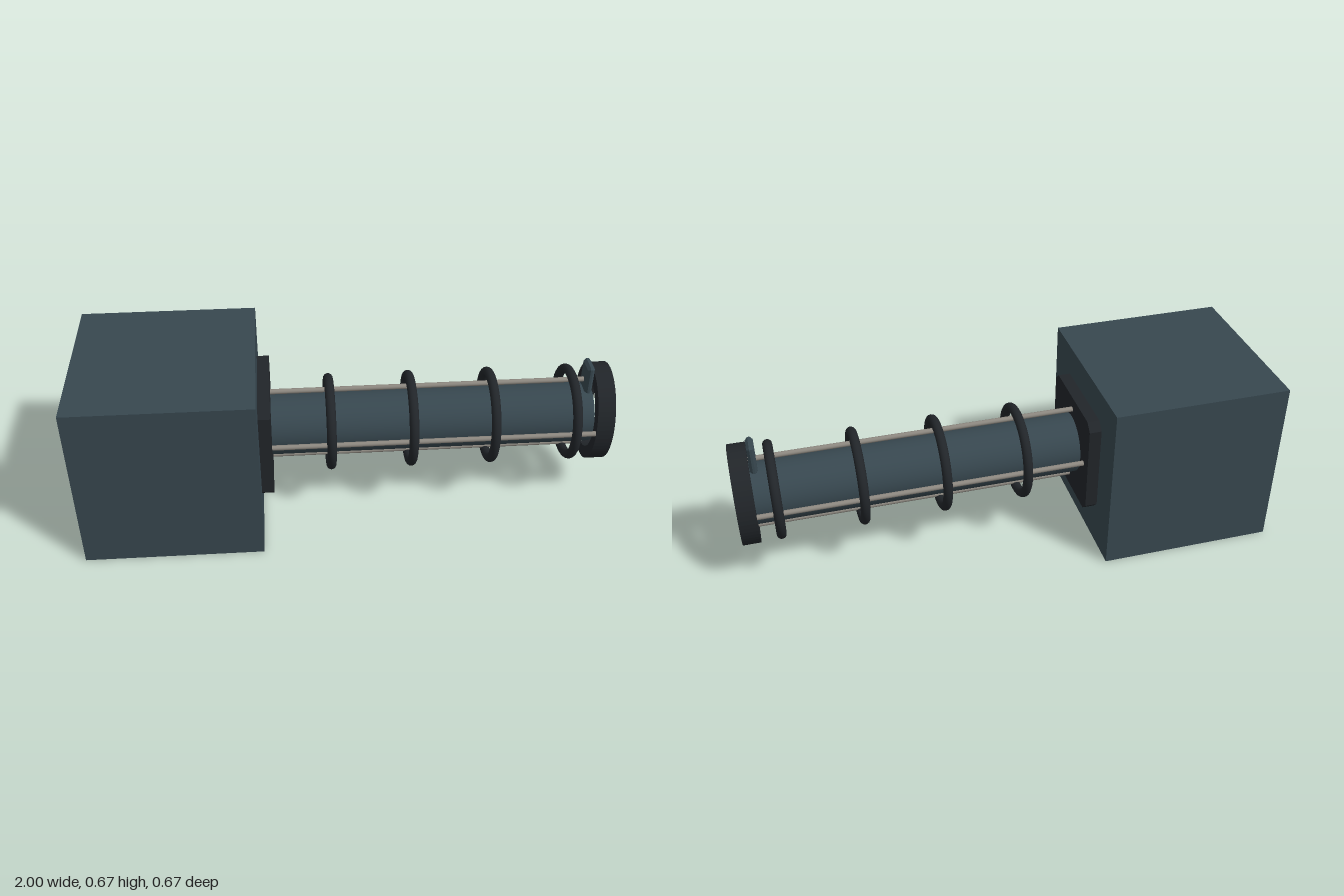
import * as THREE from 'three';

const AXIS_Y = 0.35; // height of the barrel axis
const bodyMat = new THREE.MeshStandardMaterial({ color: 0x37474f });
const darkMat = new THREE.MeshStandardMaterial({ color: 0x212529 });
const rodMat = new THREE.MeshStandardMaterial({ color: 0x8d8880 });

function addMesh(parent, name, geometry, material, x = 0, y = 0, z = 0) {
  const mesh = new THREE.Mesh(geometry, material);
  mesh.name = name;
  mesh.position.set(x, y, z);
  parent.add(mesh);
  return mesh;
}

// Cylinder lying along x from x0 to x1
function rodX(radius, x0, x1, sides) {
  return new THREE.CylinderGeometry(radius, radius, x1 - x0, sides)
    .rotateZ(-Math.PI / 2)
    .translate((x0 + x1) / 2, 0, 0);
}

// Outline in the z-y plane extruded along +x, starting at x0
function extrudeX(shape, x0, depth, options = {}) {
  return new THREE.ExtrudeGeometry(shape, { depth, bevelEnabled: false, curveSegments: 32, ...options })
    .rotateY(Math.PI / 2)
    .translate(x0, 0, 0);
}

// Rectangle with cut corners
function cutRectangle(w, h, c) {
  return new THREE.Shape([
    [-w + c, -h], [w - c, -h], [w, -h + c], [w, h - c],
    [w - c, h], [-w + c, h], [-w, h - c], [-w, -h + c],
  ].map(([x, y]) => new THREE.Vector2(x, y)));
}

export function createModel() {
  const model = new THREE.Group();
  model.name = 'model';

  // Cube at the closed end
  addMesh(model, 'cubeHead', new THREE.BoxGeometry(0.667, 0.667, 0.667), bodyMat, -0.6665, 0.3335, 0);

  const barrel = new THREE.Group();
  barrel.name = 'barrelAssembly';
  barrel.position.y = AXIS_Y;
  model.add(barrel);

  // Mounting plate with cut corners
  addMesh(barrel, 'mountingPlate', extrudeX(cutRectangle(0.2, 0.2, 0.03), -0.334, 0.047), darkMat);

  // Central tube
  addMesh(barrel, 'tube', rodX(0.117, -0.3, 0.935, 48), bodyMat);

  // Four guide rods around the tube
  for (let i = 0; i < 4; i++) {
    const a = (i * Math.PI) / 2;
    addMesh(barrel, 'guideRod', rodX(0.01, -0.29, 0.935, 12), rodMat,
      0, Math.cos(a) * 0.15, Math.sin(a) * 0.15);
  }

  // Evenly spaced hoops
  for (let i = 0; i < 4; i++) {
    const hoop = new THREE.TorusGeometry(0.167, 0.018, 16, 64).rotateY(Math.PI / 2);
    addMesh(barrel, 'hoop', hoop, darkMat, -0.065 + i * 0.3073, 0, 0);
  }

  // Oval end ring
  const oval = new THREE.Shape().absellipse(0, 0, 0.16, 0.2, 0, Math.PI * 2);
  oval.holes.push(new THREE.Path().absellipse(0, 0, 0.12, 0.15, 0, Math.PI * 2));
  addMesh(barrel, 'endRing', extrudeX(oval, 0.933, 0.067), darkMat);

  // Bevelled tab behind the end ring
  const tab = extrudeX(cutRectangle(0.031, 0.05, 0.002), 0.914, 0.008, {
    bevelEnabled: true, bevelThickness: 0.01, bevelSize: 0.01, bevelSegments: 1,
  });
  addMesh(barrel, 'tab', tab, bodyMat, 0, 0.163, 0);

  return model;
}
